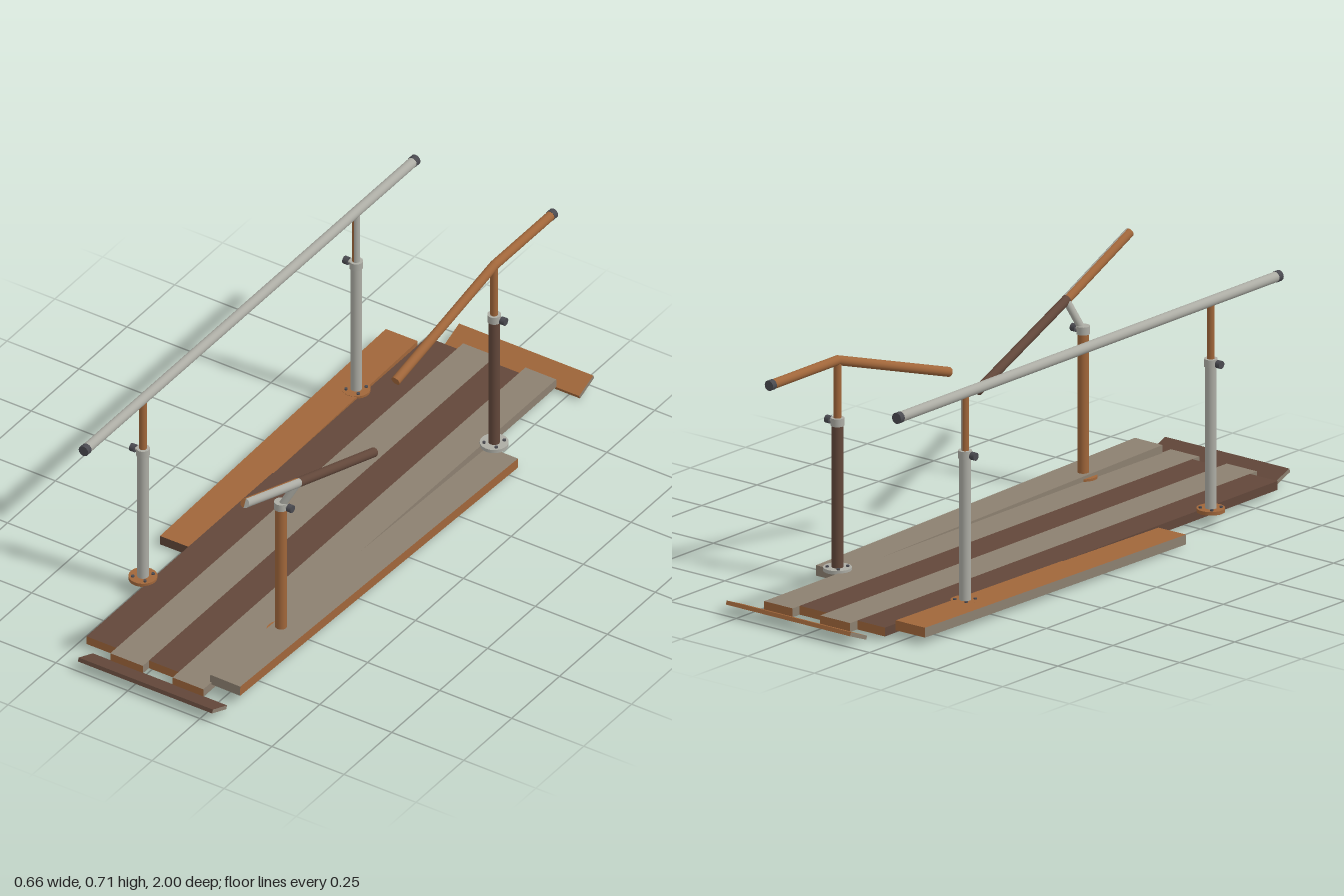
import * as THREE from 'three';

const mat = (name, hex) => {
  const m = new THREE.MeshStandardMaterial({ color: hex });
  m.name = name;
  return m;
};
const rust = mat('rust orange', 0xa0663a);
const greyWood = mat('weathered wood', 0x8c8070);
const brown = mat('dark brown', 0x62473a);
const metal = mat('bare metal', 0xacaca4);
const charcoal = mat('charcoal', 0x4a4a50);
const V = (x, y, z) => new THREE.Vector3(x, y, z);
const UP = V(0, 1, 0);

export function createModel() {
  const model = new THREE.Group();
  model.name = 'brokenParallelBars';

  // Round bar from a to b; "start" and "sweep" allow a half-painted side
  function bar(name, a, b, r, material, parent = model, start = 0, sweep = Math.PI * 2) {
    const dir = b.clone().sub(a);
    const sides = sweep > 4 ? 24 : 12;
    const mesh = new THREE.Mesh(new THREE.CylinderGeometry(r, r, dir.length(), sides, 1, false, start, sweep), material);
    mesh.position.copy(a).add(b).multiplyScalar(0.5);
    mesh.quaternion.setFromUnitVectors(UP, dir.normalize());
    mesh.name = name;
    parent.add(mesh);
    return mesh;
  }

  // Bar with one colour on its +x half and another on its -x half
  function twoToneBar(name, a, b, r, plusX, minusX, parent = model) {
    bar(name + 'LeftHalf', a, b, r, plusX, parent, 0, Math.PI);
    bar(name + 'RightHalf', a, b, r, minusX, parent, Math.PI, Math.PI);
  }

  // Board from back point a to front point b; colours are [+x, -x, top, bottom, front, back]
  function board(name, a, b, width, thick, colours) {
    const mesh = new THREE.Mesh(new THREE.BoxGeometry(width, thick, a.distanceTo(b)), colours);
    mesh.position.copy(a).add(b).multiplyScalar(0.5);
    mesh.lookAt(b);
    mesh.name = name;
    model.add(mesh);
  }

  // Floor planks
  const floor = [
    [-0.217, -0.113, brown, 0.89],
    [-0.113, 0.0, greyWood, 0.922],
    [0.0, 0.103, brown, 0.89],
    [0.103, 0.21, greyWood, 0.922],
  ];
  floor.forEach(([x0, x1, m, half], i) => {
    const x = (x0 + x1) / 2;
    board('floorPlank' + (i + 1), V(x, 0.032, -half), V(x, 0.032, half), x1 - x0, 0.027,
      [m, m, m, m, rust, rust]);
  });

  // Loose planks lying askew on both sides
  board('looseLeftPlank', V(0.275, 0.02, -0.545), V(0.258, 0.054, 0.88), 0.105, 0.032,
    [rust, greyWood, greyWood, greyWood, greyWood, greyWood]);
  board('looseRightPlank', V(-0.275, 0.042, -0.845), V(-0.265, 0.024, 0.35), 0.11, 0.03,
    [rust, greyWood, rust, rust, brown, rust]);

  // Upturned end boards
  board('frontEndBoard', V(0.058, 0.014, 0.922), V(0.058, 0.043, 0.996), 0.466, 0.012,
    [greyWood, greyWood, brown, brown, brown, brown]);
  board('backEndBoard', V(0.058, 0.043, -0.996), V(0.058, 0.014, -0.922), 0.466, 0.012,
    [greyWood, greyWood, rust, rust, rust, rust]);

  // Posts: bolted base, outer tube, collar and clamp knob
  const posts = [
    ['rightFrontPost', -0.242, 0.557, metal, rust],
    ['rightBackPost', -0.242, -0.557, metal, rust],
    ['leftFrontPost', 0.237, 0.557, rust, rust],
    ['leftBackPost', 0.237, -0.557, brown, metal],
  ];
  for (const [name, x, z, tubeMat, baseMat] of posts) {
    const post = new THREE.Group();
    post.name = name;
    post.position.set(x, 0, z);
    model.add(post);
    const s = Math.sign(x);
    bar('basePlate', V(0, 0.042, 0), V(0, 0.053, 0), 0.042, baseMat, post);
    for (let i = 0; i < 4; i++) {
      const a = Math.PI / 4 + (i * Math.PI) / 2;
      const bx = 0.03 * Math.cos(a), bz = 0.03 * Math.sin(a);
      bar('baseBolt', V(bx, 0.053, bz), V(bx, 0.057, bz), 0.005, charcoal, post);
    }
    bar('outerTube', V(0, 0.045, 0), V(0, 0.49, 0), 0.017, tubeMat, post);
    bar('collar', V(0, 0.483, 0), V(0, 0.507, 0), 0.02, metal, post);
    bar('knobStem', V(s * 0.015, 0.495, 0), V(s * 0.03, 0.495, 0), 0.005, metal, post);
    bar('clampKnob', V(s * 0.025, 0.495, 0), V(s * 0.041, 0.495, 0), 0.012, charcoal, post);
  }

  // Inner tubes, one of them bent over
  bar('rightFrontInnerTube', V(-0.242, 0.49, 0.557), V(-0.242, 0.68, 0.557), 0.0115, rust);
  twoToneBar('rightBackInnerTube', V(-0.242, 0.49, -0.557), V(-0.242, 0.68, -0.557), 0.0115, metal, rust);
  bar('leftBackInnerTube', V(0.237, 0.49, -0.557), V(0.237, 0.68, -0.557), 0.0115, rust);
  bar('leftFrontBentTube', V(0.24, 0.495, 0.557), V(0.282, 0.58, 0.535), 0.0115, metal);

  // Intact rail with end caps
  bar('rightRail', V(-0.242, 0.681, -0.86), V(-0.242, 0.681, 0.86), 0.0155, metal);
  for (const s of [-1, 1]) {
    bar('railCap', V(-0.242, 0.681, s * 0.85), V(-0.242, 0.681, s * 0.868), 0.0165, charcoal);
  }

  // Broken rail, back piece: straight end and drooping end
  const bend = V(0.237, 0.681, -0.557);
  bar('leftBackRail', V(0.237, 0.681, -0.86), bend, 0.0145, rust);
  bar('leftBackRailCap', V(0.237, 0.681, -0.868), V(0.237, 0.681, -0.85), 0.0155, charcoal);
  bar('leftBackRailDroop', bend, V(0.205, 0.535, -0.09), 0.0145, rust);
  const joint = new THREE.Mesh(new THREE.SphereGeometry(0.0145, 20, 12), rust);
  joint.position.copy(bend);
  joint.name = 'railBend';
  model.add(joint);

  // Broken rail, front piece: tilted upward past its joint
  const mid = V(0.284, 0.582, 0.54);
  twoToneBar('leftFrontRailUpper', mid, V(0.306, 0.703, 0.85), 0.0145, metal, rust);
  bar('leftFrontRailLower', V(0.257, 0.418, 0.103), mid, 0.0145, brown);

  return model;
}
